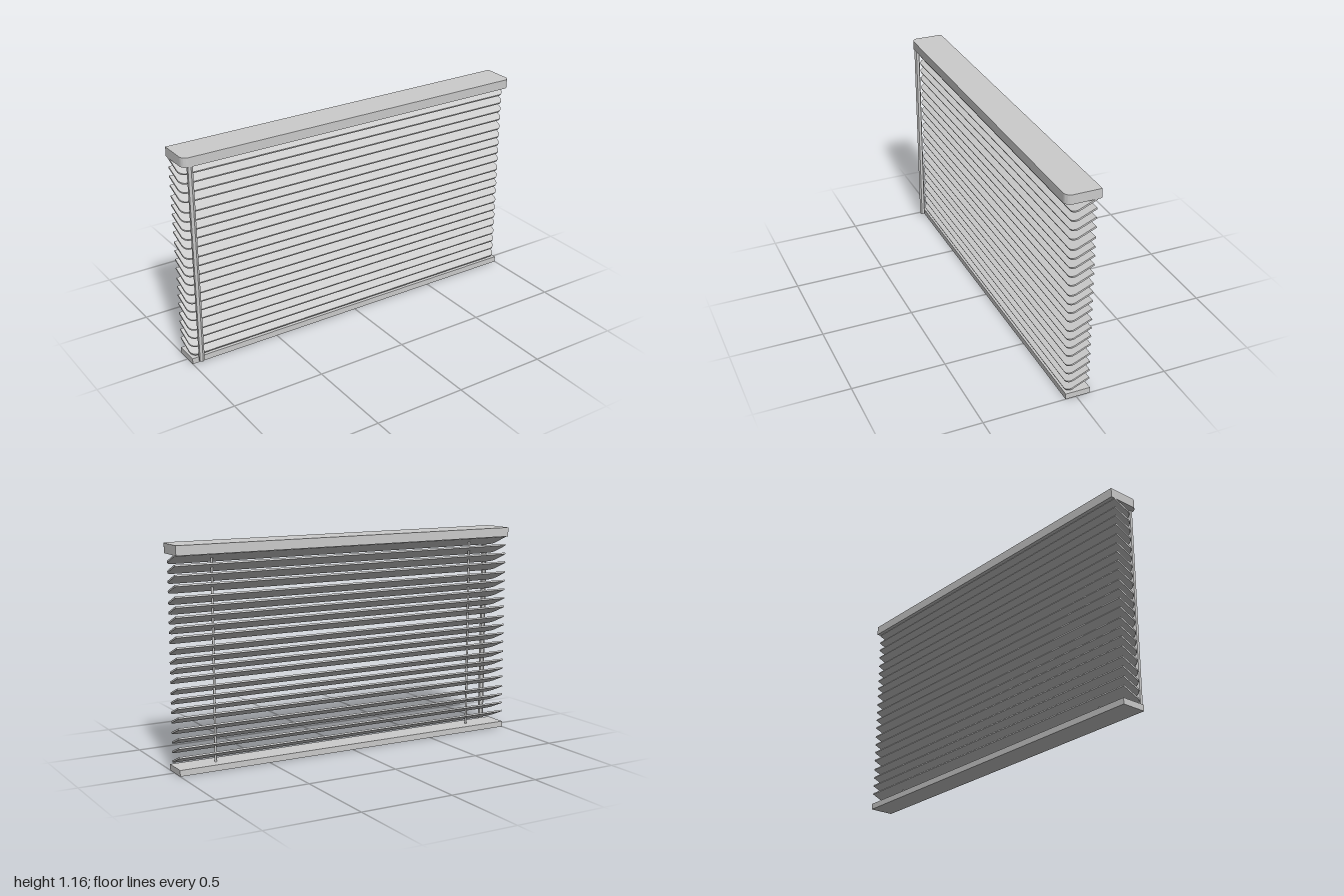
import * as THREE from 'three';
import { toCreasedNormals } from 'three/addons/utils/BufferGeometryUtils.js';

const material = new THREE.MeshStandardMaterial({ color: 0xcccccc });

// Flat board spanning x -1..1, with its two front corners rounded, centred on y
function roundedBoard(depth, thickness, radius) {
  const d = depth / 2;
  const shape = new THREE.Shape();
  shape.moveTo(-1, -d);
  shape.lineTo(1, -d);
  shape.lineTo(1, d - radius);
  shape.absarc(1 - radius, d - radius, radius, 0, Math.PI / 2, false);
  shape.lineTo(-1 + radius, d);
  shape.absarc(-1 + radius, d - radius, radius, Math.PI / 2, Math.PI, false);
  shape.closePath();
  const geometry = new THREE.ExtrudeGeometry(shape, { depth: thickness, bevelEnabled: false, curveSegments: 8 });
  geometry.rotateX(Math.PI / 2).translate(0, thickness / 2, 0);
  return toCreasedNormals(geometry, 0.6);
}

export function createModel() {
  const model = new THREE.Group();
  model.name = 'venetianBlind';

  function add(name, geometry, x, y, z, parent = model) {
    const mesh = new THREE.Mesh(geometry, material);
    mesh.name = name;
    mesh.position.set(x, y, z);
    parent.add(mesh);
    return mesh;
  }

  // Head rail and bottom rail
  add('headRail', roundedBoard(0.182, 0.05, 0.035), 0, 1.131, 0.001);
  add('bottomRail', new THREE.BoxGeometry(2, 0.032, 0.133), 0, 0.016, -0.008);

  // Tilted slats, with a slightly wider gap above every fourth or fifth one
  const slats = new THREE.Group();
  slats.name = 'slats';
  model.add(slats);
  const slatGeometry = roundedBoard(0.131, 0.009, 0.035);
  const wideGaps = [4, 9, 13, 17];
  let y = 1.081;
  for (let i = 0; i < 21; i++) {
    if (i > 0) y -= wideGaps.includes(i) ? 0.0562 : 0.0492;
    add('slat', slatGeometry, 0, y, -0.008, slats).rotation.x = 0.4;
  }

  // Two ladder cords through the slats
  const cordGeometry = new THREE.CylinderGeometry(0.006, 0.006, 1.076, 12);
  for (const x of [-0.785, 0.78]) add('cord', cordGeometry, x, 0.569, -0.014);

  // Hexagonal tilt wand hanging in front on the right-hand end
  const wandGeometry = toCreasedNormals(new THREE.CylinderGeometry(0.015, 0.015, 1.087, 6), 0.5);
  add('tiltWand', wandGeometry, -0.957, 0.5635, 0.077);

  return model;
}
